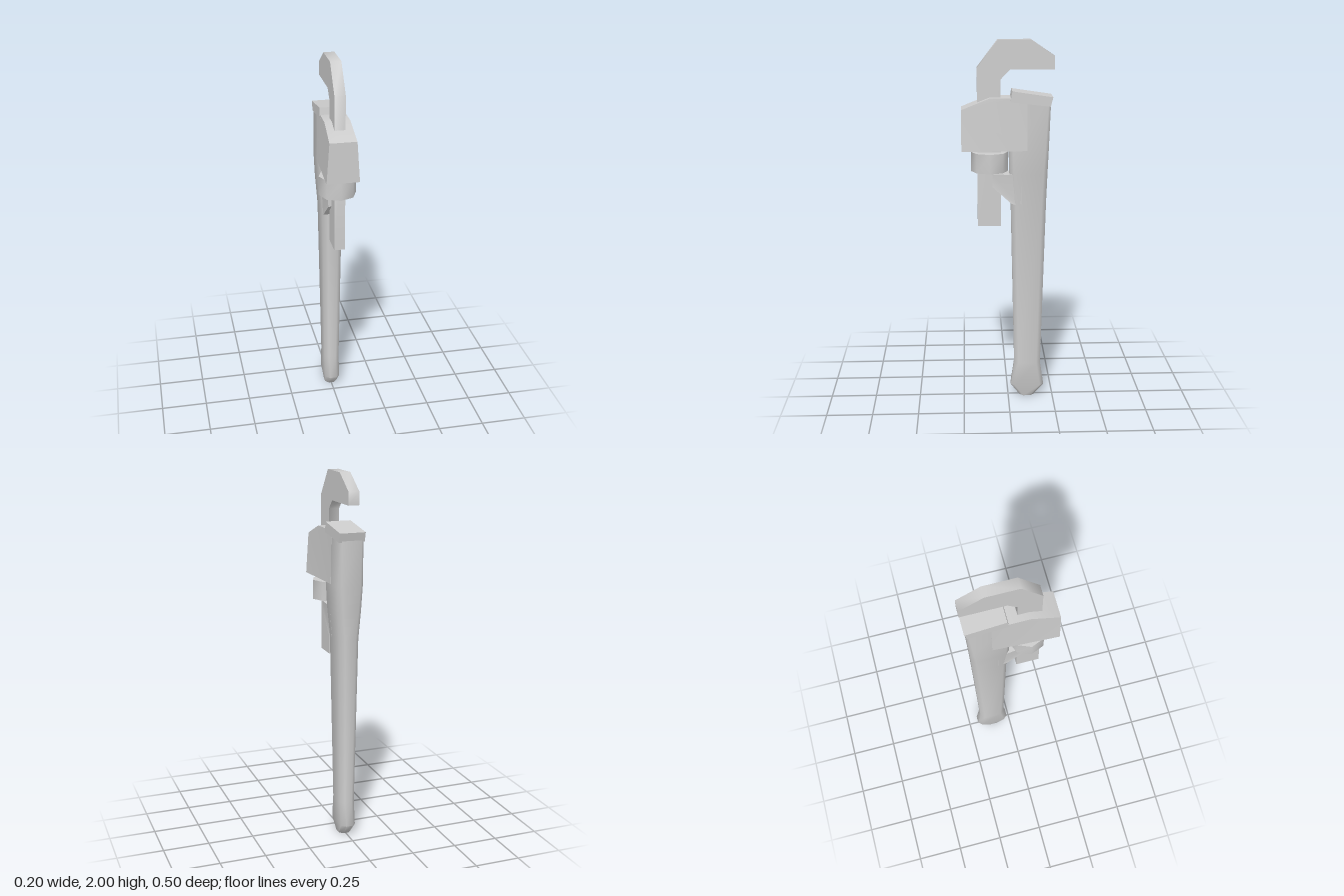
import * as THREE from 'three';
import { toCreasedNormals } from 'three/addons/utils/BufferGeometryUtils.js';

const material = new THREE.MeshStandardMaterial({ color: 0xcccccc });

function addPart(group, name, geometry, crease = 0.9) {
  const mesh = new THREE.Mesh(toCreasedNormals(geometry, crease), material);
  mesh.name = name;
  group.add(mesh);
  return mesh;
}

// Side profile of [z, y] points, given a half width in x that may vary over the profile
function sideProfile(points, halfWidth) {
  const shape = new THREE.Shape(points.map(([z, y]) => new THREE.Vector2(z, y)));
  const geometry = new THREE.ExtrudeGeometry(shape, { depth: 2, bevelEnabled: false });
  geometry.translate(0, 0, -1).rotateY(-Math.PI / 2);
  const p = geometry.attributes.position;
  for (let i = 0; i < p.count; i++) {
    p.setX(i, Math.sign(p.getX(i)) * halfWidth(p.getZ(i), p.getY(i)));
  }
  return geometry;
}

// Chamfered eight-sided sections [y, back z, front z, half width, chamfer], stacked upward
function chamferedLoft(sections) {
  const n = 8, verts = [], index = [];
  for (const [y, back, front, w, c] of sections) {
    const ring = [
      [-w + c, front], [w - c, front], [w, front - c], [w, back + c],
      [w - c, back], [-w + c, back], [-w, back + c], [-w, front - c],
    ];
    for (const [x, z] of ring) verts.push(x, y, z);
  }
  for (let s = 0; s < sections.length - 1; s++) {
    for (let k = 0; k < n; k++) {
      const a = s * n + k, b = s * n + (k + 1) % n;
      index.push(a, b, b + n, a, b + n, a + n);
    }
  }
  const top = (sections.length - 1) * n;
  for (let k = 1; k < n - 1; k++) {
    index.push(0, k + 1, k, top, top + k, top + k + 1);
  }
  const geometry = new THREE.BufferGeometry();
  geometry.setAttribute('position', new THREE.Float32BufferAttribute(verts, 3));
  geometry.setIndex(index);
  return geometry;
}

export function createModel() {
  const group = new THREE.Group();
  group.name = 'pipeWrench';
  const { lerp, clamp } = THREE.MathUtils;

  // Long handle, swelling at the foot and widening to the head
  addPart(group, 'handle', chamferedLoft([
    [0, -0.145, -0.065, 0.034, 0.02],
    [0.065, -0.2, -0.015, 0.041, 0.022],
    [0.2, -0.18, -0.035, 0.042, 0.022],
    [1.13, -0.205, -0.015, 0.054, 0.024],
    [1.29, -0.21, -0.006, 0.066, 0.022],
    [1.42, -0.215, -0.006, 0.071, 0.018],
    [1.69, -0.225, -0.008, 0.067, 0.012],
  ]), 1.0);

  // Housing around the jaw shank, wider at its lower front
  addPart(group, 'housing', sideProfile([
    [-0.1, 1.42], [0.25, 1.42], [0.25, 1.64], [0.1, 1.7], [-0.012, 1.7], [-0.1, 1.685],
  ], (z, y) => {
    const low = lerp(0.0715, 0.087, clamp((z + 0.1) / 0.35, 0, 1));
    return lerp(low, 0.0675, clamp((y - 1.42) / 0.28, 0, 1));
  }), 0.7);

  // Lug below the nut, narrowing forward and downward
  addPart(group, 'lug', sideProfile([
    [-0.07, 1.11], [-0.015, 1.13], [0.085, 1.22], [0.085, 1.29], [-0.07, 1.29],
  ], (z, y) => lerp(0.053, 0.066, clamp((y - 1.13) / 0.13, 0, 1)) - 0.2 * Math.max(z, 0)), 0.7);

  // Toothed heel plate, lying tilted on the head
  addPart(group, 'lowerJaw', sideProfile([
    [-0.01, 1.68], [-0.02, 1.737], [-0.235, 1.705], [-0.222, 1.655],
  ], () => 0.07));

  // Hook jaw with its straight shank
  addPart(group, 'hookJaw', sideProfile([
    [0.04, 1.0], [0.165, 1.0], [0.165, 1.855], [0.055, 2.0], [-0.12, 2.0],
    [-0.245, 1.915], [-0.245, 1.845], [-0.01, 1.845], [0.04, 1.795],
  ], () => 0.029), 1.0);

  // Eight-sided adjusting nut
  const nut = addPart(group, 'adjustingNut', new THREE.CylinderGeometry(0.1, 0.1, 0.105, 8), 0.9);
  nut.position.set(0, 1.3535, 0.1);

  return group;
}
